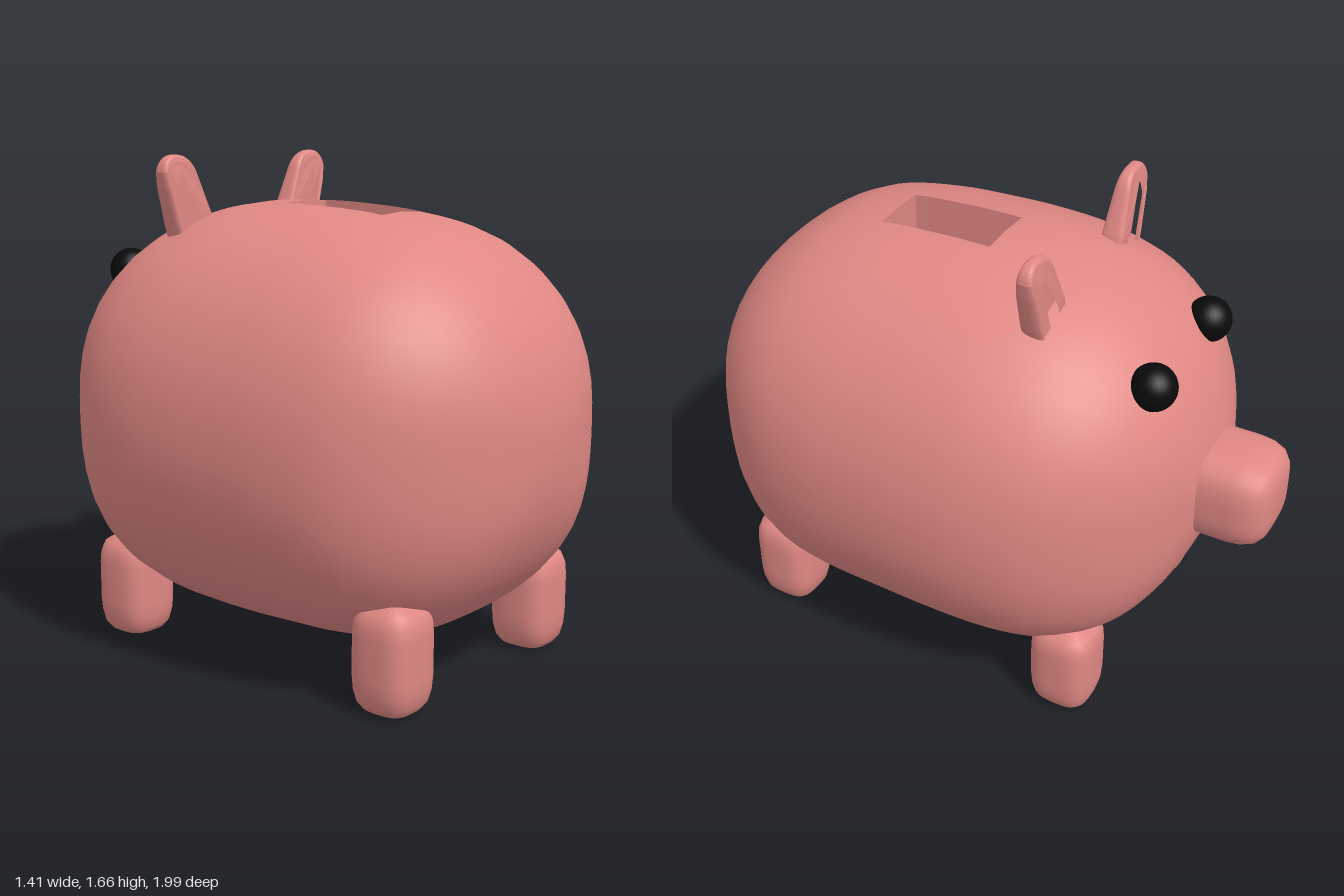
import * as THREE from 'three';

const COLS = 42, SUB = 4;
const SLOT_FIRST = 6, SLOT_LAST = 8; // profile points at the ends of the coin slot
const CENTRE_Y = 0.798;

// Body profile: position along z, radius
const PROFILE = [
  [0.995, 0], [0.985, 0.13], [0.945, 0.28], [0.865, 0.425], [0.745, 0.55], [0.59, 0.64], [0.4, 0.685], [0.2, 0.702],
  [0, 0.706], [-0.2, 0.69], [-0.4, 0.633], [-0.57, 0.52], [-0.69, 0.365], [-0.765, 0.18], [-0.785, 0.08], [-0.79, 0],
];

// Radius factor that turns a circle into a slightly squared one
function squareness(angle, n) {
  return (Math.abs(Math.cos(angle)) ** n + Math.abs(Math.sin(angle)) ** n) ** (-1 / n);
}

function bodyRows() {
  const curve = new THREE.SplineCurve(PROFILE.map(([z, r]) => new THREE.Vector2(z, r)));
  return curve.getPoints((PROFILE.length - 1) * SUB);
}

// The section grows squarer towards both ends, most of all above the legs
function bodyPoint(row, col) {
  const a = (col / COLS) * Math.PI * 2;
  const end = ((row.x - 0.1) / 0.89) ** 2;
  const low = (1 - Math.cos(a)) / 2;
  const r = Math.max(0, row.y) * squareness(a, 2.12 + end * (0.25 + 0.95 * low));
  return [r * Math.sin(a), CENTRE_Y + r * Math.cos(a), row.x];
}

// Barrel body with the slot cells left open
function bodyGeometry(rows) {
  const positions = [], index = [];
  rows.forEach((row) => {
    for (let j = 0; j < COLS; j++) positions.push(...bodyPoint(row, j));
  });
  for (let i = 0; i < rows.length - 1; i++) {
    for (let j = 0; j < COLS; j++) {
      const inSlot = i >= SLOT_FIRST * SUB && i < SLOT_LAST * SUB && (j === 0 || j === COLS - 1);
      if (inSlot) continue;
      const k = (j + 1) % COLS;
      const a = i * COLS + j, b = i * COLS + k, c = a + COLS, d = b + COLS;
      index.push(a, b, c, b, d, c);
    }
  }
  const g = new THREE.BufferGeometry();
  g.setAttribute('position', new THREE.Float32BufferAttribute(positions, 3));
  g.setIndex(index);
  g.computeVertexNormals();
  return g;
}

// Inward-facing box without a lid, its top edge following the body
function pocketGeometry(rows) {
  const n = (SLOT_LAST - SLOT_FIRST) * SUB;
  const box = new THREE.BoxGeometry(2, 2, n, 2, 1, n);
  const lid = box.groups[2];
  const index = Array.from(box.index.array);
  index.splice(lid.start, lid.count);
  box.setIndex(index.reverse());
  const p = box.attributes.position;
  for (let v = 0; v < p.count; v++) {
    const row = rows[SLOT_LAST * SUB - Math.round(p.getZ(v) + n / 2)];
    const [x, y, z] = bodyPoint(row, Math.round(p.getX(v)));
    p.setXYZ(v, x, p.getY(v) > 0 ? y : 1.15, z);
  }
  const g = box.toNonIndexed();
  g.computeVertexNormals();
  return g;
}

// Rounded-square peg standing on y = 0, with a domed top that sinks into the body
function pegGeometry(radius) {
  const pts = [
    [0, 0], [0.45, 0], [0.72, 0.012], [0.88, 0.035], [0.97, 0.075], [1, 0.12],
    [1, 0.25], [0.97, 0.29], [0.85, 0.325], [0.5, 0.35], [0, 0.355],
  ].map(([r, y]) => new THREE.Vector2(r * radius, y));
  const g = new THREE.LatheGeometry(pts, 40);
  const p = g.attributes.position;
  for (let v = 0; v < p.count; v++) {
    const s = squareness(Math.atan2(p.getZ(v), p.getX(v)), 3.2);
    p.setX(v, p.getX(v) * s);
    p.setZ(v, p.getZ(v) * s);
  }
  g.computeVertexNormals();
  return g;
}

// Ear outline, shrunk inward by t for the hollow
function earPath(PathType, t) {
  const path = new PathType();
  path.moveTo(0.16 + t, 1.32);
  path.lineTo(0.207 + t, 1.46);
  path.lineTo(0.265 + t, 1.595 - t * 0.6);
  path.quadraticCurveTo(0.285 + t, 1.64 - t, 0.33, 1.643 - t);
  path.quadraticCurveTo(0.385 - t, 1.65 - t, 0.392 - t, 1.6 - t);
  path.lineTo(0.382 - t, 1.55 - t * 0.5);
  path.lineTo(0.345 - t, 1.42);
  path.lineTo(0.31 - t, 1.32);
  path.closePath();
  return path;
}

// Ear layer centred on z = 0, thinning towards the tip
function earLayer(shape, depth, bevelThickness, bevelSize) {
  const g = new THREE.ExtrudeGeometry(shape, { depth, bevelThickness, bevelSize, bevelSegments: 5, curveSegments: 8 });
  g.translate(0, 0, -depth / 2);
  const p = g.attributes.position;
  for (let v = 0; v < p.count; v++) {
    const t = Math.max(0, (p.getY(v) - 1.45) / 0.2);
    p.setZ(v, p.getZ(v) * (1 - 0.5 * t * t));
  }
  g.computeVertexNormals();
  return g;
}

export function createModel() {
  const model = new THREE.Group();
  const pink = new THREE.MeshStandardMaterial({ color: 0xe08884 });
  const black = new THREE.MeshStandardMaterial({ color: 0x0a0a0a });
  const add = (name, geometry, material, parent = model) => {
    const mesh = new THREE.Mesh(geometry, material);
    mesh.name = name;
    parent.add(mesh);
    return mesh;
  };

  const rows = bodyRows();
  add('body', bodyGeometry(rows), pink);
  add('coinSlot', pocketGeometry(rows), pink);

  // Snout points to -z
  const snout = add('snout', pegGeometry(0.16), pink);
  snout.rotation.x = Math.PI / 2;
  snout.position.set(0, CENTRE_Y, -0.995);

  // Legs
  const leg = pegGeometry(0.11);
  for (const [end, z] of [['front', -0.45], ['back', 0.675]]) {
    for (const side of [-1, 1]) {
      add(end + 'Leg', leg, pink).position.set(side * 0.385, 0, z);
    }
  }

  // Eyes
  const eye = new THREE.SphereGeometry(0.075, 28, 20);
  for (const side of [-1, 1]) {
    add('eye', eye, black).position.set(side * 0.215, 1.245, -0.625);
  }

  // Ears: a rounded rim with a thin panel behind the hollow
  const rimShape = earPath(THREE.Shape, 0);
  rimShape.holes.push(earPath(THREE.Path, 0.045));
  const rim = earLayer(rimShape, 0.02, 0.028, 0.012);
  const panel = earLayer(earPath(THREE.Shape, 0.01), 0.015, 0.012, 0.01);
  for (const side of [-1, 1]) {
    const ear = new THREE.Group();
    ear.name = side > 0 ? 'leftEar' : 'rightEar';
    add('earRim', rim, pink, ear);
    add('earPanel', panel, pink, ear).position.z = 0.012;
    ear.position.z = -0.278;
    ear.scale.x = side;
    model.add(ear);
  }
  return model;
}
